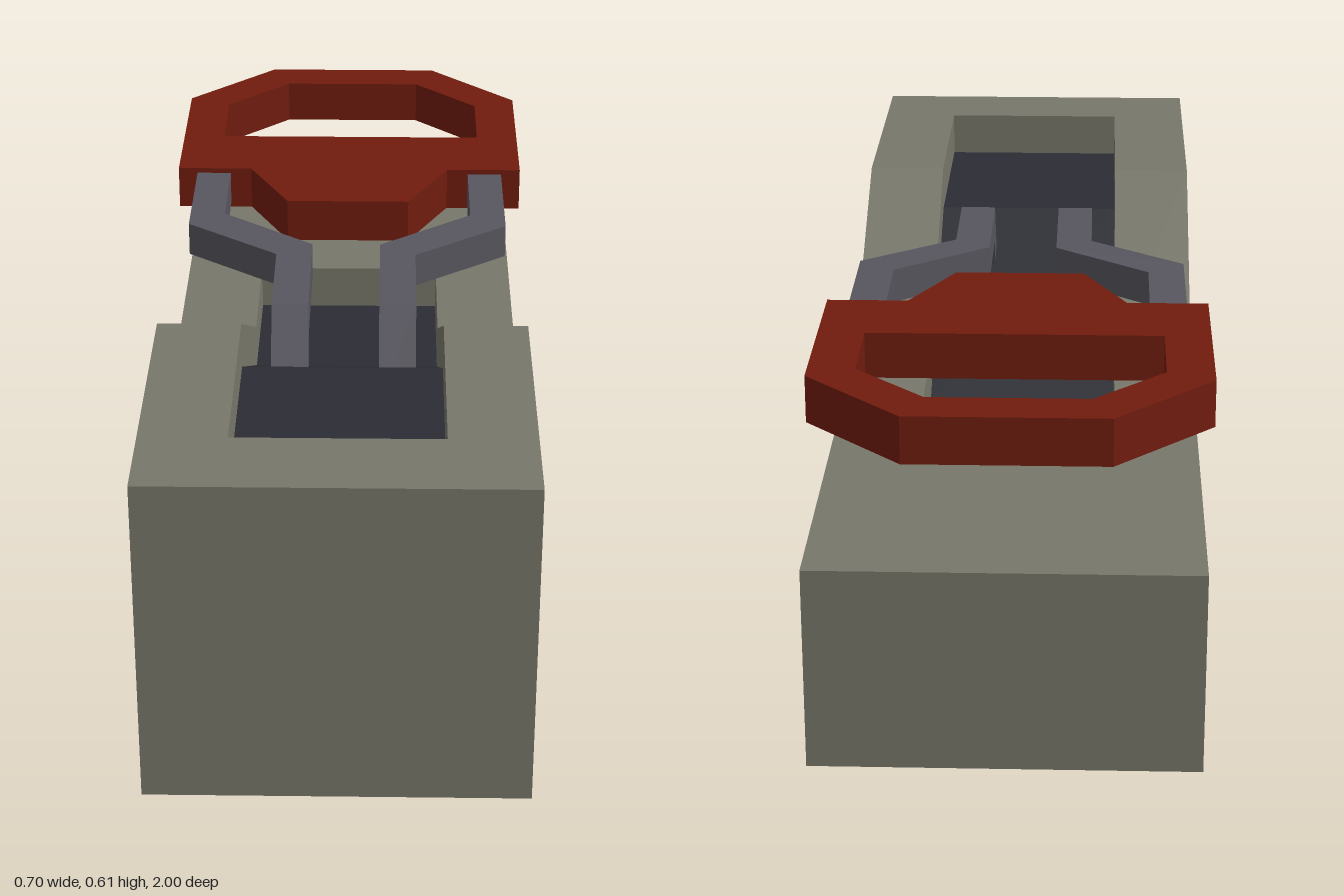
import * as THREE from 'three';

const mat = (color) => new THREE.MeshStandardMaterial({ color, flatShading: true });
const stone = mat(0x77776a), dark = mat(0x2c2c35), steel = mat(0x57555e), red = mat(0x701c0e);

const toShape = (pts) => new THREE.Shape(pts.map(([a, b]) => new THREE.Vector2(a, b)));

function part(name, geometry, material) {
  const mesh = new THREE.Mesh(geometry, material);
  mesh.name = name;
  return mesh;
}

// Side outline of [z, y] points, extruded across x from x0 to x1
function sideExtrude(pts, x0, x1) {
  const g = new THREE.ExtrudeGeometry(toShape(pts.map(([z, y]) => [-z, y])), { depth: x1 - x0, bevelEnabled: false });
  return g.rotateY(Math.PI / 2).translate(x0, 0, 0);
}

// Plan outline of [x, z] points, extruded upwards from y0 to y1
function planExtrude(pts, y0, y1, hole) {
  const flip = (list) => list.map(([x, z]) => [x, -z]);
  const shape = toShape(flip(pts));
  if (hole) shape.holes.push(toShape(flip(hole)));
  const g = new THREE.ExtrudeGeometry(shape, { depth: y1 - y0, bevelEnabled: false });
  return g.rotateX(-Math.PI / 2).translate(0, y0, 0);
}

// Completes a plan outline by mirroring its +x half
const mirrored = (half) => [...half, ...half.map(([x, z]) => [-x, z]).reverse()];

export function createModel() {
  const model = new THREE.Group();
  const W = 0.33, S = 0.18, HI = 0.605, LO = 0.36, DEPTH = 0.09;

  // Base: two stepped side rails and a middle with a sunken slot
  const base = new THREE.Group();
  base.name = 'base';
  const rail = [[1, 0], [1, HI], [0.43, HI], [-0.04, LO], [-1, LO], [-1, 0]];
  base.add(part('railLeft', sideExtrude(rail, S, W), stone));
  base.add(part('railRight', sideExtrude(rail, -W, -S), stone));
  const floor = [[0.84, HI - DEPTH], [0.43, HI - DEPTH], [-0.04, LO - DEPTH], [-0.31, LO - DEPTH]];
  const middle = [[1, 0], [1, HI], [0.84, HI], ...floor, [-0.31, LO], [-1, LO], [-1, 0]];
  base.add(part('slottedMiddle', sideExtrude(middle, -S, S), stone));

  // Dark lining on the slot floor
  const lining = [...floor.map(([z, y]) => [z, y + 0.004]), ...floor.map(([z, y]) => [z, y - 0.01]).reverse()];
  base.add(part('slotFloor', sideExtrude(lining, -S, S), dark));
  model.add(base);

  // Handle: angular grip ring with a tapered tongue
  const grip = mirrored([[0.12, -0.16], [0.2, -0.32], [0.348, -0.32], [0.348, -0.7], [0.175, -0.875]]);
  const opening = mirrored([[0.265, -0.49], [0.265, -0.665], [0.14, -0.79]]);
  model.add(part('handle', planExtrude(grip, 0.495, 0.58, opening), red));

  // Cranked arms whose tips bend down into the slot
  for (const s of [1, -1]) {
    const arm = new THREE.Group();
    arm.name = s > 0 ? 'armLeft' : 'armRight';
    const path = [[0.31, -0.33], [0.31, -0.07], [0.133, 0.065], [0.133, 0.25],
      [0.065, 0.25], [0.065, 0.02], [0.242, -0.12], [0.242, -0.33]];
    arm.add(part('armBar', planExtrude(path.map(([x, z]) => [s * x, z]), 0.505, 0.57), steel));
    const tip = [[0.25, 0.505], [0.25, 0.57], [0.275, 0.57], [0.37, 0.42], [0.3, 0.42]];
    const c = s * 0.099;
    arm.add(part('armTip', sideExtrude(tip, c - 0.034, c + 0.034), steel));
    model.add(arm);
  }
  return model;
}
